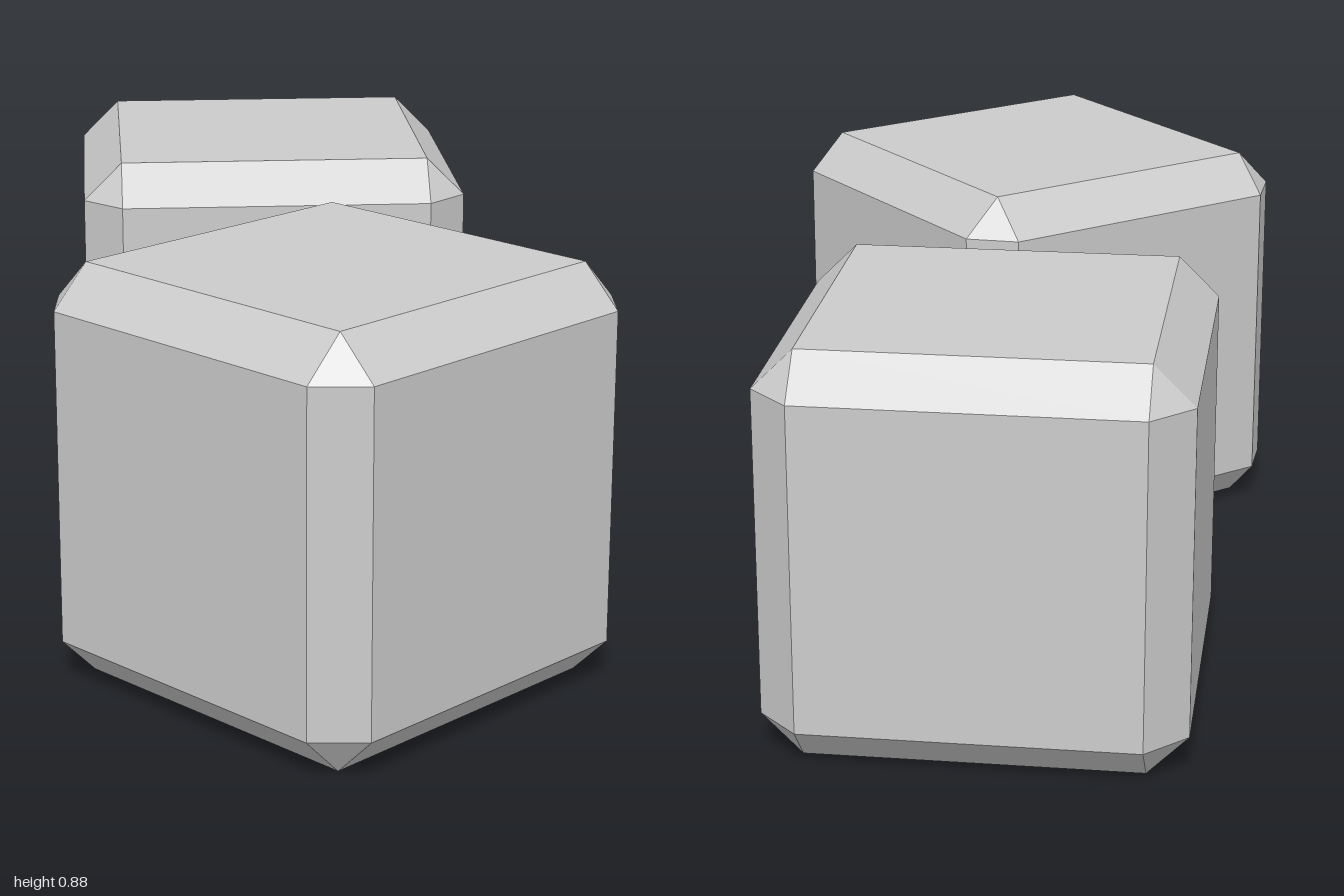
import * as THREE from 'three';
import { ConvexGeometry } from 'three/addons/geometries/ConvexGeometry.js';

const SIZE = 0.881;
const BEVEL = 0.087;

// Cube with flat chamfered edges and triangular corners
function chamferedCube(size, bevel) {
  const h = size / 2;
  const i = h - bevel;
  const points = [];
  for (const sx of [-1, 1])
    for (const sy of [-1, 1])
      for (const sz of [-1, 1]) {
        points.push(
          new THREE.Vector3(sx * h, sy * i, sz * i),
          new THREE.Vector3(sx * i, sy * h, sz * i),
          new THREE.Vector3(sx * i, sy * i, sz * h)
        );
      }
  return new ConvexGeometry(points);
}

export function createModel() {
  const group = new THREE.Group();
  group.name = 'chamferedCubes';
  const material = new THREE.MeshStandardMaterial({ color: 0xcccccc, flatShading: true });
  const geometry = chamferedCube(SIZE, BEVEL);

  function addCube(name, x, z, degrees) {
    const cube = new THREE.Mesh(geometry, material);
    cube.name = name;
    cube.position.set(x, SIZE / 2, z);
    cube.rotation.y = THREE.MathUtils.degToRad(degrees);
    group.add(cube);
  }

  // Straight cube in front, turned cube behind
  addCube('frontCube', -0.453, 0.5595, 0);
  addCube('backCube', 0.329, -0.4355, -41);

  return group;
}
